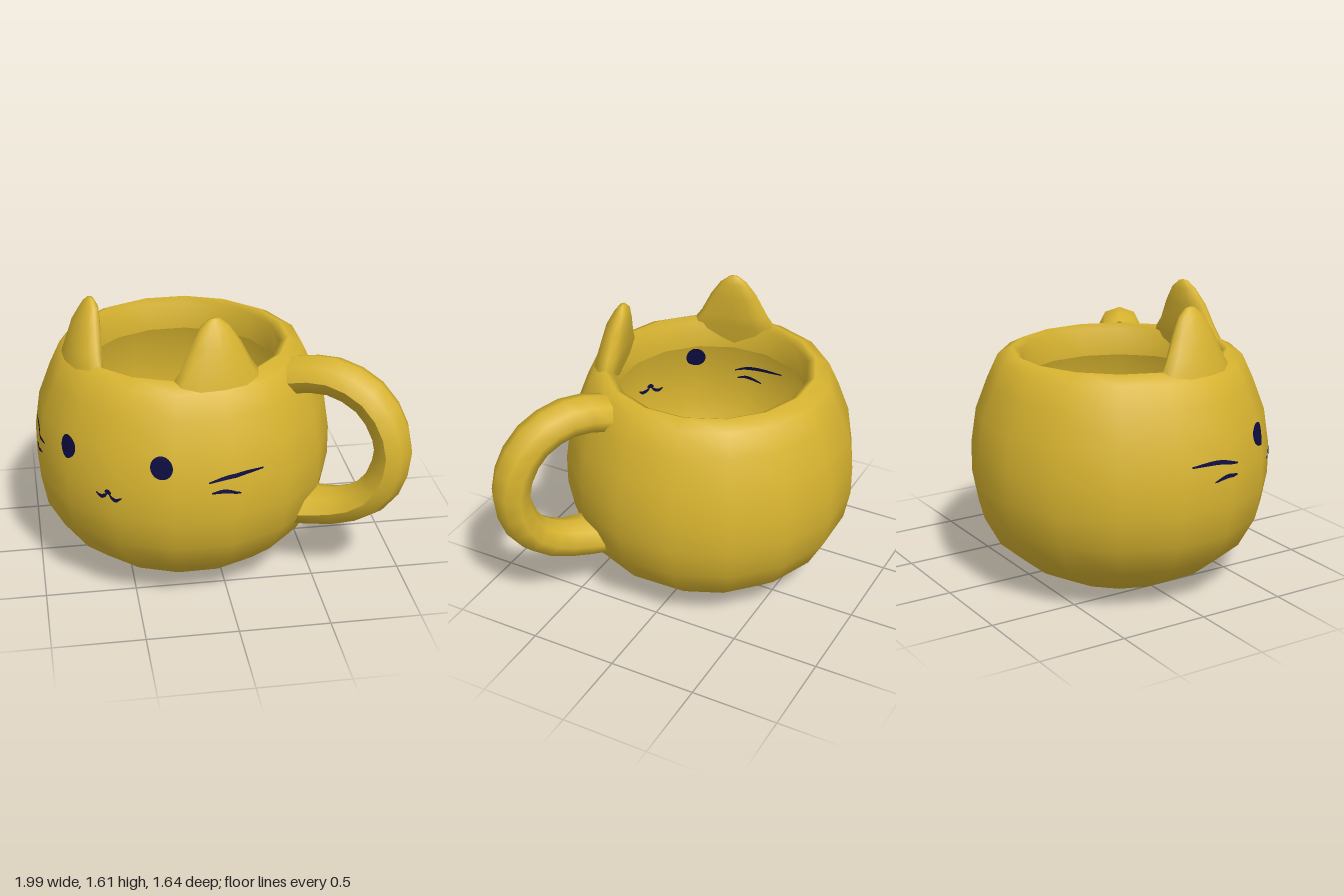
import * as THREE from 'three';

const DEG = Math.PI / 180;
const SIDES = 16;
// Cup wall from the base up and over the rolled lip: [radius, height]
const WALL = [[0, 0], [0.255, 0], [0.4, 0.03], [0.57, 0.12], [0.71, 0.24], [0.8, 0.405], [0.833, 0.58],
  [0.833, 0.75], [0.803, 0.95], [0.735, 1.13], [0.675, 1.26], [0.595, 1.3], [0.55, 1.275], [0.54, 1.12]];

// Point on the faceted cup wall at an angle (0 = face) and height
function onWall(deg, y, lift) {
  const i = WALL.findIndex((p, k) => k > 1 && p[1] >= y);
  const [r0, y0] = WALL[i - 1], [r1, y1] = WALL[i];
  const r = r0 + (r1 - r0) * (y - y0) / (y1 - y0);
  const step = 360 / SIDES;
  const off = (((deg % step) + step) % step - step / 2) * DEG;
  const R = r * Math.cos(Math.PI / SIDES) / Math.cos(off) + lift;
  return [R * Math.sin(deg * DEG), y, R * Math.cos(deg * DEG)];
}

// Grid of points joined into quads; row(i) and column(j) run over 0..1
function gridGeometry(nu, nv, point) {
  const pos = [], index = [];
  for (let i = 0; i <= nu; i++) for (let j = 0; j <= nv; j++) pos.push(...point(i / nu, j / nv));
  for (let i = 0; i < nu; i++) for (let j = 0; j < nv; j++) {
    const a = i * (nv + 1) + j, b = a + nv + 1;
    index.push(a, b, b + 1, a, b + 1, a + 1);
  }
  const g = new THREE.BufferGeometry();
  g.setAttribute('position', new THREE.Float32BufferAttribute(pos, 3));
  g.setIndex(index);
  g.computeVertexNormals();
  return g;
}

// Ear: stacked ovals [height, inner radius, outer radius, half width], bent to follow the rim
function earGeometry() {
  const rings = [[1.12, 0.55, 0.7, 0.3], [1.28, 0.505, 0.665, 0.25], [1.35, 0.49, 0.645, 0.2],
    [1.47, 0.475, 0.61, 0.14], [1.56, 0.475, 0.56, 0.08], [1.6, 0.495, 0.53, 0.03], [1.605, 0.512, 0.512, 0]];
  const n = 12, pos = [], index = [];
  rings.forEach(([y, a, b, w]) => {
    for (let j = 0; j < n; j++) {
      const t = j / n * Math.PI * 2, u = w * Math.sin(t);
      pos.push(u, y, (a + b) / 2 + (b - a) / 2 * Math.cos(t) - u * u / 1.6);
    }
  });
  for (let i = 0; i < rings.length - 1; i++) for (let j = 0; j < n; j++) {
    const a = i * n + j, b = i * n + (j + 1) % n;
    index.push(a, b, b + n, a, b + n, a + n);
  }
  const g = new THREE.BufferGeometry();
  g.setAttribute('position', new THREE.Float32BufferAttribute(pos, 3));
  g.setIndex(index);
  g.computeVertexNormals();
  return g;
}

// Handle: oval tube that spreads out where it joins the lower wall
function handleGeometry() {
  const path = new THREE.CatmullRomCurve3([[0.68, 1.19], [0.78, 1.215], [0.94, 1.215], [1.115, 1.13], [1.21, 1.0],
    [1.25, 0.86], [1.235, 0.73], [1.17, 0.585], [1.055, 0.49], [0.93, 0.44], [0.72, 0.41]]
    .map(([x, y]) => new THREE.Vector3(x, y, 0)));
  const g = new THREE.TubeGeometry(path, 14, 0.105, 8);
  const p = g.attributes.position;
  for (let i = 0; i < p.count; i++) {
    const flare = p.getY(i) < 0.7 ? Math.max(0, 0.95 - p.getX(i)) : 0;
    p.setZ(i, p.getZ(i) * (1.19 + flare * 1.5));
  }
  g.computeVertexNormals();
  return g;
}

export function createModel() {
  const gold = new THREE.MeshStandardMaterial({ color: 0xd8b430, side: THREE.DoubleSide });
  gold.name = 'gold glaze';
  const navy = new THREE.MeshStandardMaterial({ color: 0x0d0c42, side: THREE.DoubleSide });
  navy.name = 'navy paint';

  const model = new THREE.Group();
  model.name = 'catMug';
  const mug = new THREE.Group();
  mug.name = 'mug';
  mug.position.x = -0.17;
  mug.rotation.y = -32.5 * DEG;
  model.add(mug);

  function add(name, geometry, material) {
    const mesh = new THREE.Mesh(geometry, material);
    mesh.name = name;
    mug.add(mesh);
    return mesh;
  }

  add('cup', new THREE.LatheGeometry(WALL.map(([r, y]) => new THREE.Vector2(r, y)), SIDES), gold);
  add('handle', handleGeometry(), gold);
  for (const s of [-1, 1]) add(s < 0 ? 'rightEar' : 'leftEar', earGeometry(), gold).rotation.y = s * 45 * DEG;

  // Painted face, showing on both the outside and the inside of the wall
  const MID = -3;
  for (const lift of [0.005, -0.005]) {
    const where = lift > 0 ? '' : 'Inside';

    const stroke = (name, points, width) => {
      const curve = new THREE.CatmullRomCurve3(points.map(([a, y]) => new THREE.Vector3(a, y * 100, 0)));
      add(name + where, gridGeometry(16, 1, (u, v) => {
        const c = curve.getPoint(u);
        const w = width * (0.35 + 0.65 * Math.sin(Math.PI * u));
        return onWall(c.x, c.y / 100 + (v - 0.5) * w, lift);
      }), navy);
    };

    for (const s of [-1, 1]) {
      const side = s < 0 ? 'right' : 'left';
      // Eye
      add(side + 'Eye' + where, gridGeometry(14, 8, (u, v) => {
        const t = -Math.cos(u * Math.PI), h = Math.sqrt(Math.max(0, 1 - t * t));
        return onWall(MID + s * 20.5 + t * 4.3, 0.9 + (2 * v - 1) * 0.064 * h, lift);
      }), navy);
      // Whiskers
      stroke(side + 'UpperWhisker', [[38, 0.81], [47, 0.838], [60, 0.84]].map(([a, y]) => [MID + s * a, y]), 0.024);
      stroke(side + 'LowerWhisker', [[39, 0.752], [44, 0.758], [50, 0.738]].map(([a, y]) => [MID + s * a, y]), 0.022);
      // Mouth half
      stroke(side + 'Mouth', [[0, 0.725], [1.5, 0.7], [3.5, 0.69], [5.5, 0.705]].map(([a, y]) => [MID + s * a, y]), 0.024);
    }
    // Nose
    stroke('nose', [[MID - 1.4, 0.725], [MID, 0.728], [MID + 1.4, 0.725]], 0.03);
  }
  return model;
}
